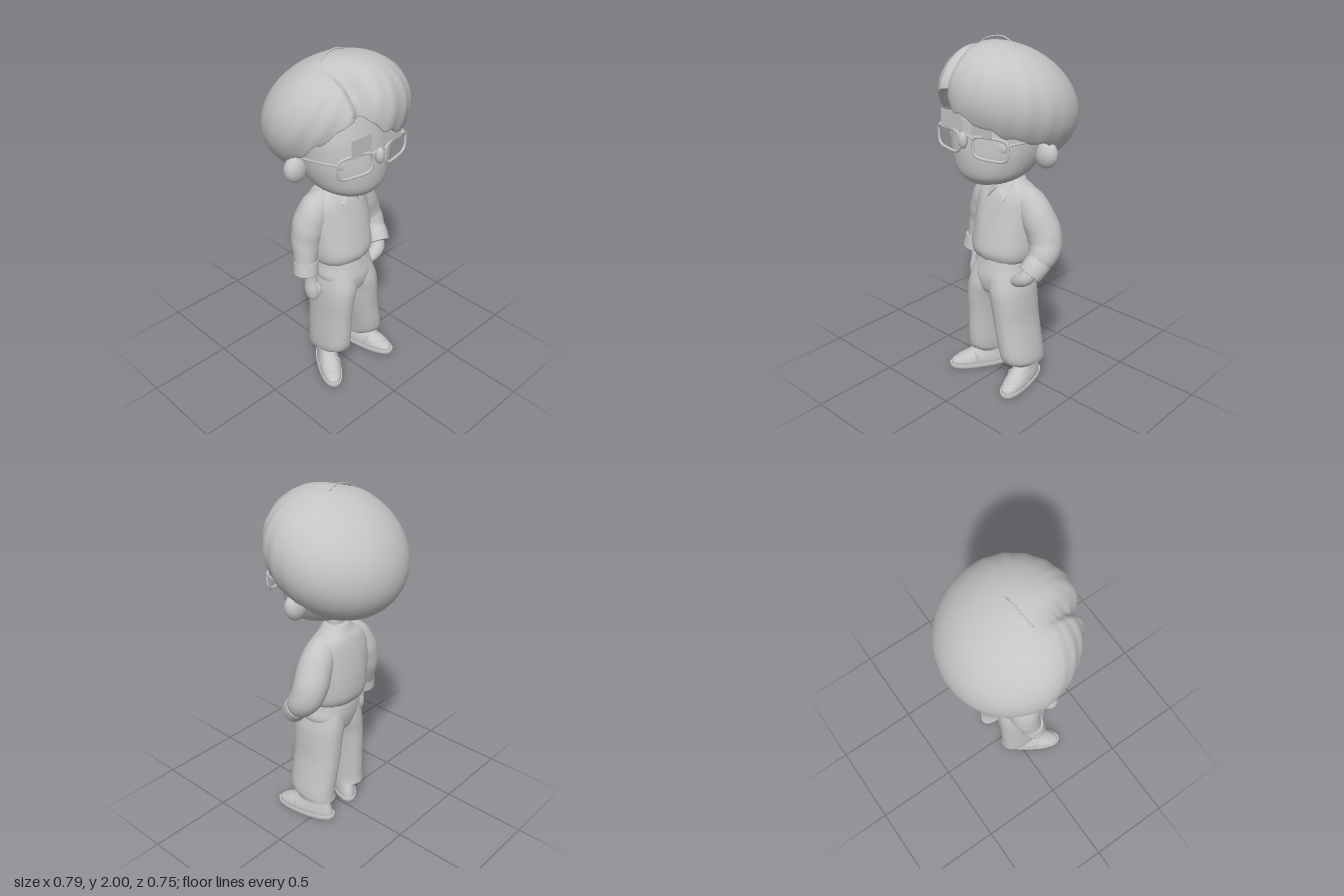
import * as THREE from 'three';

const grey = new THREE.MeshStandardMaterial({ color: 0xc4c4c4, side: THREE.DoubleSide });
grey.name = 'plain grey';
const V = (x, y, z) => new THREE.Vector3(x, y, z);
const { smoothstep, clamp, lerp } = THREE.MathUtils;

// Smooth surface from a rule fn(u, v) -> Vector3; wrap joins u = 1 to u = 0
function grid(fn, nu, nv, wrap) {
  const pos = [], idx = [], cols = wrap ? nu : nu + 1;
  for (let j = 0; j <= nv; j++)
    for (let i = 0; i < cols; i++) pos.push(...fn(i / nu, j / nv).toArray());
  for (let j = 0; j < nv; j++)
    for (let i = 0; i < nu; i++) {
      const k = (i + 1) % cols;
      const a = j * cols + i, b = j * cols + k, c = a + cols, d = b + cols;
      idx.push(a, b, d, a, d, c);
    }
  const g = new THREE.BufferGeometry();
  g.setAttribute('position', new THREE.Float32BufferAttribute(pos, 3));
  g.setIndex(idx);
  g.computeVertexNormals();
  return g;
}

// Stacked oval sections [y, centre x, centre z, radius x, radius z].
// t and a limit it to a patch lying just off the same surface.
function loft(sec, { t = [0, 1], a = null, off = 0, power = 0.9, fold = 0 } = {}) {
  const mid = new THREE.CatmullRomCurve3(sec.map(s => V(s[1], s[0], s[2])), false, 'catmullrom');
  const rad = new THREE.CatmullRomCurve3(sec.map(s => V(s[3], 0, s[4])), false, 'catmullrom');
  const pw = s => Math.sign(s) * Math.abs(s) ** power;
  const nv = 40;
  return grid((u, v) => {
    const w = a ? v : clamp((v * nv - 1) / (nv - 2), 0, 1);
    const k = lerp(t[0], t[1], w), p = mid.getPoint(k), r = rad.getPoint(k);
    const ang = a ? lerp(a[0], a[1], u) : u * Math.PI * 2;
    const close = !a && (v === 0 || v === 1) ? 0 : 1;
    const f = close * (1 + fold * Math.sin(ang * 7 + k * 9) * Math.sin(k * Math.PI));
    return V(p.x + (r.x + off) * f * pw(Math.sin(ang)), p.y, p.z + (r.z + off) * f * pw(Math.cos(ang)));
  }, a ? 24 : 56, nv, !a);
}

// Round limb along points [x, y, z, radius], closed at the ends
function limb(pts, fold = 0) {
  const path = new THREE.CatmullRomCurve3(pts.map(p => V(p[0], p[1], p[2])), false, 'catmullrom');
  const rad = new THREE.CatmullRomCurve3(pts.map(p => V(p[3], 0, 0)), false, 'catmullrom');
  return grid((u, v) => {
    const k = clamp((v * 28 - 1) / 26, 0, 1), T = path.getTangent(k);
    const N = T.clone().cross(V(0, 0, 1)).normalize(), B = T.clone().cross(N);
    const a = u * Math.PI * 2;
    const r = v === 0 || v === 1 ? 0 : rad.getPoint(k).x * (1 + fold * Math.sin(k * 26 + 2 * Math.sin(a)));
    return path.getPoint(k).addScaledVector(N, r * Math.cos(a)).addScaledVector(B, r * Math.sin(a));
  }, 28, 28, true);
}

const tube = (pts, r, closed = false) =>
  new THREE.TubeGeometry(new THREE.CatmullRomCurve3(pts.map(p => V(...p)), closed), 60, r, 8, closed);

// Height of the lower hair edge by azimuth in degrees (0 = front, + = model's left)
const hairEdge = [[-180, 1.315], [-114, 1.315], [-102, 1.38], [-88, 1.47], [-68, 1.53], [-55, 1.61], [-40, 1.7],
  [-24, 1.78], [-12, 1.72], [0, 1.66], [15, 1.62], [25, 1.585], [39, 1.55], [53, 1.52], [68, 1.5], [88, 1.46],
  [102, 1.38], [114, 1.315], [180, 1.315]];
function edgeY(deg) {
  const i = Math.max(1, hairEdge.findIndex(e => e[0] >= deg));
  const [p, q] = [hairEdge[i - 1], hairEdge[i]];
  return lerp(p[1], q[1], smoothstep(deg, p[0], q[0]));
}

// Leaning egg-shaped shell with a parting, strands and a rolled-in edge
function hairShell() {
  return grid((u, v) => {
    const az = u * Math.PI * 2 - Math.PI;
    const front = smoothstep(Math.cos(az), -0.2, 0.5);
    const y0 = edgeY(az * 180 / Math.PI) + 0.01 * front * Math.sin(az * 17);
    const phi = Math.min(1, v / 0.88) * Math.acos(clamp((y0 - 1.65) / 0.335, -1, 1));
    const roll = Math.max(0, (v - 0.88) / 0.12), s = Math.sin(phi);
    let x = 0.397 * s * Math.sin(az), y = 0.335 * Math.cos(phi), z = 0.365 * s * Math.cos(az);
    const width = x < -0.155 ? 0.035 : 0.075;
    const part = Math.exp(-(((x + 0.155) / width) ** 2)) * smoothstep(z, -0.12, 0.24) * 0.17;
    const side = smoothstep(-x, 0.13, 0.2) * smoothstep(z, -0.08, 0.22) * 0.08;
    const strands = 0.009 * front * s * s * Math.sin(az * 19 + 5 * phi);
    const f = 1 - Math.max(part, side) + strands;
    x *= f * (1 - 0.2 * roll); z *= f * (1 - 0.2 * roll);
    y = y * (y > 0 ? f : 1) + 0.02 * roll * s;
    return V(x, 1.65 + y, z + 0.27 * y);
  }, 160, 60, true);
}

export function createModel() {
  const model = new THREE.Group();
  const add = (name, geo, p = [0, 0, 0], s = [1, 1, 1], r = [0, 0, 0], parent = model) => {
    const m = new THREE.Mesh(geo, grey);
    m.name = name;
    m.position.set(...p); m.scale.set(...s); m.rotation.set(...r);
    parent.add(m);
  };
  const ball = new THREE.SphereGeometry(1, 32, 20);

  // Head
  add('head', loft([[1.245, 0, 0.12, 0.075, 0.1], [1.27, 0, 0.12, 0.148, 0.14], [1.32, 0, 0.09, 0.212, 0.2],
    [1.42, 0, 0.05, 0.26, 0.248], [1.52, 0, 0.03, 0.282, 0.257], [1.62, 0, 0, 0.295, 0.27],
    [1.75, 0, 0, 0.25, 0.23], [1.85, 0, 0, 0.15, 0.15]], { power: 0.97 }));
  add('neck', new THREE.CylinderGeometry(0.05, 0.052, 0.22, 28), [0.02, 1.26, -0.005]);
  add('nose', ball, [0, 1.51, 0.32], [0.025, 0.045, 0.025]);
  add('mouth', tube([[-0.015, 1.388, 0.293], [0.008, 1.383, 0.295], [0.03, 1.388, 0.293]], 0.003));
  for (const s of [-1, 1])
    add('ear', ball, [s * 0.302, 1.425, 0.015], [0.066, 0.075, 0.05], [0, 0, -s * 0.3]);
  add('rightBrowPlate', new THREE.BoxGeometry(0.14, 0.1, 0.004), [-0.11, 1.593, 0.298]);
  add('leftBrowPlate', new THREE.BoxGeometry(0.14, 0.075, 0.004), [0.112, 1.585, 0.298]);

  // Hair
  add('hair', hairShell());
  add('longStrand', tube([[-0.15, 1.92, 0.05], [-0.13, 1.965, 0.03], [-0.06, 1.992, 0.017], [0.0, 1.994, 0.012],
    [0.05, 1.975, 0.01]], 0.004));
  add('shortStrand', tube([[-0.28, 1.87, 0.03], [-0.24, 1.905, 0.05], [-0.21, 1.87, 0.065]], 0.004));

  // Glasses
  for (const [s, cx] of [[-1, -0.14], [1, 0.158]]) {
    const ring = [];
    for (let i = 0; i < 32; i++) {
      const a = i / 32 * Math.PI * 2, c = Math.cos(a), n = Math.sin(a);
      ring.push([0.104 * Math.sign(c) * Math.abs(c) ** 0.5 * (1 + 0.06 * n), 0.059 * Math.sign(n) * Math.abs(n) ** 0.5, 0]);
    }
    add('glassesRim', tube(ring, 0.008, true), [cx, 1.485, 0.285], [1, 1, 1], [0, s * 0.22, 0]);
    add('glassesArm', tube([[cx + s * 0.103, 1.52, 0.262], [s * 0.285, 1.525, 0.2], [s * 0.3, 1.5, 0.02]], 0.006));
    add('eye', ball, [s * 0.14, 1.48, 0.243], [0.07, 0.038, 0.012], [0, s * 0.4, 0]);
  }
  add('glassesBridge', tube([[-0.036, 1.525, 0.305], [0.008, 1.54, 0.308], [0.054, 1.525, 0.305]], 0.006));

  // Shirt
  const torso = [[0.755, 0.012, 0.02, 0.14, 0.125], [0.785, 0.012, 0.02, 0.175, 0.152], [0.84, 0.012, 0.015, 0.19, 0.172],
    [0.95, 0.012, 0, 0.192, 0.16], [1.05, 0.012, -0.01, 0.195, 0.14], [1.13, 0.015, -0.015, 0.195, 0.118],
    [1.18, 0.018, -0.02, 0.165, 0.097], [1.215, 0.02, -0.018, 0.1, 0.076], [1.25, 0.02, -0.015, 0.062, 0.062]];
  add('shirt', loft(torso, { fold: 0.012 }));
  add('placket', loft(torso, { t: [0.1, 0.84], a: [-0.08, 0.08], off: 0.004 }));
  add('chestPocket', loft(torso, { t: [0.37, 0.56], a: [0.22, 0.9], off: 0.007 }));
  add('collarStand', loft(torso, { t: [0.92, 1], a: [0.25, Math.PI * 2 - 0.25], off: 0.008 }));
  const flap = new THREE.Shape([[0, 0], [0.06, 0.065], [0.085, 0.02], [0.056, -0.06]].map(p => new THREE.Vector2(...p)));
  const flapGeo = new THREE.ExtrudeGeometry(flap, { depth: 0.008, bevelEnabled: false });
  for (const s of [-1, 1])
    add('collarFlap', flapGeo, [0.02 + s * 0.004, 1.19, 0.085], [s, 1, 1], [-0.6, s * 0.4, 0]);

  // Sleeves, cuffs and hands
  add('rightSleeve', limb([[-0.05, 1.165, -0.02, 0.05], [-0.125, 1.12, -0.02, 0.083], [-0.172, 1.02, -0.03, 0.094],
    [-0.2, 0.91, -0.03, 0.083], [-0.228, 0.78, -0.005, 0.06]], 0.012));
  add('rightCuff', limb([[-0.227, 0.805, -0.005, 0.068], [-0.231, 0.77, 0, 0.07], [-0.237, 0.73, 0.005, 0.072]]));
  add('rightHand', limb([[-0.222, 0.75, 0.005, 0.036], [-0.212, 0.68, 0.015, 0.036], [-0.207, 0.62, 0.022, 0.044],
    [-0.205, 0.57, 0.03, 0.036], [-0.203, 0.548, 0.032, 0.015]]));
  add('rightThumb', limb([[-0.195, 0.66, 0.045, 0.014], [-0.188, 0.62, 0.06, 0.016], [-0.188, 0.585, 0.062, 0.01]]));
  add('leftSleeve', limb([[0.085, 1.165, -0.02, 0.052], [0.155, 1.12, -0.02, 0.085], [0.22, 1.02, -0.03, 0.098],
    [0.265, 0.92, -0.035, 0.096], [0.283, 0.845, 0, 0.085], [0.27, 0.79, 0.05, 0.066]], 0.012));
  add('leftCuff', limb([[0.283, 0.81, 0.03, 0.072], [0.274, 0.78, 0.06, 0.073], [0.262, 0.745, 0.09, 0.07]]));
  add('leftHand', limb([[0.27, 0.77, 0.07, 0.042], [0.245, 0.725, 0.1, 0.044], [0.2, 0.695, 0.11, 0.038],
    [0.15, 0.67, 0.11, 0.02]]));

  // Trousers
  const hips = [[0.545, 0.015, 0.045, 0.05, 0.07], [0.59, 0.02, 0.045, 0.12, 0.135], [0.67, 0.02, 0.04, 0.172, 0.158],
    [0.74, 0.018, 0.03, 0.158, 0.155], [0.795, 0.015, 0.025, 0.145, 0.148]];
  add('hips', loft(hips));
  add('belt', loft(hips, { t: [0.8, 0.95], a: [0, Math.PI * 2], off: 0.006 }));
  for (const a of [-0.55, -0.1, 0.45, 2.4, 3.9]) add('beltLoop', loft(hips, { t: [0.72, 0.97], a: [a, a + 0.09], off: 0.012 }));
  const legs = {
    right: [[0.14, -0.085, 0.012, 0.08, 0.122], [0.2, -0.088, 0.04, 0.085, 0.148], [0.4, -0.083, 0.042, 0.084, 0.155],
      [0.53, -0.076, 0.045, 0.091, 0.16], [0.63, -0.058, 0.043, 0.1, 0.16], [0.77, -0.04, 0.028, 0.08, 0.135]],
    left: [[0.14, 0.17, 0.012, 0.09, 0.122], [0.2, 0.168, 0.04, 0.095, 0.148], [0.4, 0.128, 0.042, 0.097, 0.155],
      [0.53, 0.112, 0.045, 0.1, 0.16], [0.63, 0.095, 0.043, 0.102, 0.16], [0.77, 0.07, 0.028, 0.08, 0.135]],
  };
  for (const [side, sec] of Object.entries(legs)) {
    add(side + 'TrouserLeg', loft(sec));
    add(side + 'TrouserHem', loft(sec, { t: [0, 0.17], a: [0, Math.PI * 2], off: 0.004 }));
    for (const a of [0, Math.PI])
      add(side + 'Crease', loft(sec, { t: [0.1, 0.85], a: [a - 0.03, a + 0.03], off: 0.005 }));
  }

  // Loafers
  const upper = [[0.02, 0, 0, 0.062, 0.182], [0.045, 0, 0, 0.064, 0.178], [0.07, 0, -0.015, 0.06, 0.155],
    [0.095, 0, -0.04, 0.053, 0.12], [0.13, 0, -0.06, 0.045, 0.085]];
  const sole = [[0, 0, 0, 0.063, 0.186], [0.012, 0, 0, 0.069, 0.192], [0.028, 0, 0, 0.069, 0.192]];
  for (const [side, x, turn] of [['right', -0.132, -0.57], ['left', 0.192, 0.2]]) {
    const shoe = new THREE.Group();
    shoe.name = side + 'Shoe';
    shoe.position.set(x, 0, 0.077);
    shoe.rotation.y = turn;
    model.add(shoe);
    const put = (name, geo, p, s, r) => add(name, geo, p, s, r, shoe);
    put('sole', loft(sole, { power: 0.85 }));
    put('upper', loft(upper, { power: 0.87 }));
    put('strap', tube([[-0.062, 0.045, 0.03], [-0.048, 0.086, 0.036], [0, 0.102, 0.05], [0.048, 0.086, 0.036],
      [0.062, 0.045, 0.03]], 0.01));
    put('toeSeam', tube([[-0.042, 0.07, 0.06], [-0.03, 0.07, 0.115], [0, 0.068, 0.138], [0.03, 0.07, 0.115],
      [0.042, 0.07, 0.06]], 0.005));
    put('ankle', new THREE.CylinderGeometry(0.042, 0.042, 0.12, 24), [0, 0.14, -0.075]);
  }
  return model;
}
